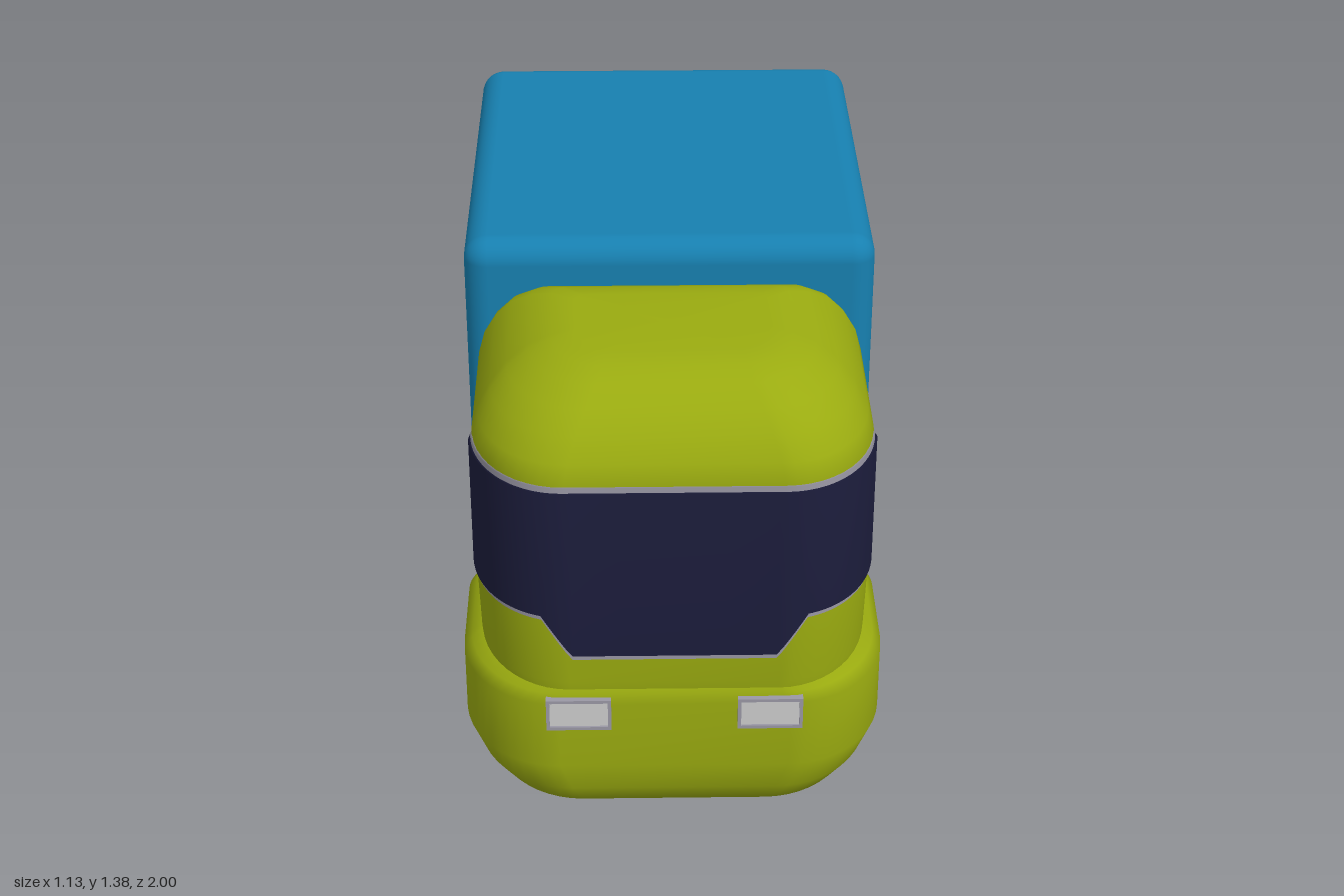
import * as THREE from 'three';
import { RoundedBoxGeometry } from 'three/addons/geometries/RoundedBoxGeometry.js';

const SEG = 12; // segments per rounded corner

// Plan outline: elliptical front corners (rx, rz), round back corners (rb)
function outline(hw, zF, zB, rx, rz, rb) {
  const pts = [];
  const corners = [[1, 1], [1, -1], [-1, -1], [-1, 1]];
  corners.forEach(([sx, sz], c) => {
    const ax = sz > 0 ? rx : rb, az = sz > 0 ? rz : rb;
    for (let i = 0; i <= SEG; i++) {
      const t = (c + i / SEG) * Math.PI / 2;
      pts.push([sx * (hw - ax) + ax * Math.sin(t), (sz > 0 ? zF - az : zB + az) + az * Math.cos(t)]);
    }
  });
  return pts;
}

// Skin through plan outlines stacked bottom to top; row = [y, halfWidth, zFront, zBack, cornerScale]
function loft(rows, rx, rz, rb) {
  const pos = [], idx = [], n = 4 * (SEG + 1);
  for (const [y, hw, zF, zB, k] of rows)
    for (const [x, z] of outline(hw, zF, zB, rx * k, rz * k, rb * k)) pos.push(x, y, z);
  for (let r = 0; r < rows.length - 1; r++)
    for (let j = 0; j < n; j++) {
      const a = r * n + j, b = r * n + (j + 1) % n;
      idx.push(a, b, b + n, a, b + n, a + n);
    }
  const last = rows.length - 1, base = last * n, c = rows.length * n;
  for (const i of [0, last]) pos.push(0, rows[i][0], (rows[i][2] + rows[i][3]) / 2);
  for (let j = 0; j < n; j++) {
    const k = (j + 1) % n;
    idx.push(c, k, j, c + 1, base + j, base + k);
  }
  return finish(pos, idx);
}

function finish(pos, idx) {
  const g = new THREE.BufferGeometry();
  g.setAttribute('position', new THREE.Float32BufferAttribute(pos, 3));
  g.setIndex(idx);
  g.computeVertexNormals();
  return g;
}

const CAB = { hw: 0.518, zF: 0.986, rx: 0.24, rz: 0.3 };

// Band wrapped around the cab front, grown by "grow" and lifted by "lift"
function windscreen(grow, lift) {
  const half = [];
  const cx = CAB.hw - CAB.rx, cz = CAB.zF - CAB.rz;
  const add = (x, z, nx, nz) => half.push([x + nx * lift, z + nz * lift, x, z]);
  for (const x of [0, 0.14, 0.262]) add(x, CAB.zF, 0, 1);
  for (let i = 0; i <= 36; i++) {
    const t = i / 36 * Math.PI / 2;
    add(cx + CAB.rx * Math.sin(t), cz + CAB.rz * Math.cos(t), Math.sin(t), Math.cos(t));
  }
  add(CAB.hw, 0.57, 1, 0);
  add(CAB.hw, 0.47 - grow, 1, 0);
  const path = [...half.slice(1).reverse().map(([a, b, c, d]) => [-a, b, -c, d]), ...half];
  const pos = [], idx = [];
  path.forEach(([x, z, px, pz], i) => {
    const taper = THREE.MathUtils.clamp((0.73 - pz) / 0.27, 0, 1) * 0.11;
    const dip = THREE.MathUtils.clamp((0.34 - Math.abs(px)) / 0.075, 0, 1) * 0.12;
    const lo = 0.69 + taper - (pz > 0.8 ? dip : 0) - grow, hi = 1.06 - taper + grow;
    // rolled edges sink into the cab skin
    const s = 1 - 0.012;
    pos.push(x * s, lo - 0.001, z * s, x, lo, z, x, hi, z, x * s, hi + 0.001, z * s);
    if (i) for (let k = 0; k < 3; k++) {
      const a = (i - 1) * 4 + k, b = i * 4 + k;
      idx.push(a, b, b + 1, a, b + 1, a + 1);
    }
  });
  return finish(pos, idx);
}

export function createModel() {
  const truck = new THREE.Group();
  truck.name = 'truck';
  const mat = (color, extra = {}) => new THREE.MeshStandardMaterial({ color, ...extra });
  const green = mat(0x9aab10);
  const blue = mat(0x1780b0);
  const glass = mat(0x1c1d3c, { side: THREE.DoubleSide });
  const trim = mat(0x9a98a5, { side: THREE.DoubleSide });
  const grey = mat(0xcccccc);
  const add = (name, geo, m, x = 0, y = 0, z = 0) => {
    const mesh = new THREE.Mesh(geo, m);
    mesh.name = name;
    mesh.position.set(x, y, z);
    truck.add(mesh);
    return mesh;
  };

  // Cargo box
  add('cargoBox', new RoundedBoxGeometry(1.11, 0.92, 1.245, 4, 0.065), blue, 0, 0.915, -0.3775);

  // Cab with domed roof
  add('cab', loft([
    [0.25, 0.49, 0.95, 0.22, 1],
    [0.42, 0.508, 0.97, 0.22, 1],
    [0.48, 0.512, 0.984, 0.22, 1],
    [0.66, CAB.hw, CAB.zF, 0.22, 1],
    [1.07, CAB.hw, CAB.zF, 0.22, 1],
    [1.13, 0.502, 0.968, 0.225, 0.98],
    [1.19, 0.468, 0.933, 0.235, 0.93],
    [1.24, 0.425, 0.887, 0.258, 0.85],
    [1.28, 0.368, 0.83, 0.3, 0.72],
    [1.303, 0.31, 0.775, 0.35, 0.55],
    [1.312, 0.25, 0.71, 0.41, 0.4],
  ], CAB.rx, CAB.rz, 0.06), green);

  // Lower front body with wheel fairings
  add('frontFairing', loft([
    [0, 0.38, 0.72, 0.4, 0.7],
    [0.025, 0.44, 0.83, 0.37, 0.85],
    [0.06, 0.49, 0.94, 0.34, 0.95],
    [0.12, 0.53, 0.97, 0.32, 1],
    [0.21, 0.562, 0.988, 0.3, 1],
    [0.41, 0.562, 0.988, 0.3, 1],
    [0.44, 0.54, 0.983, 0.3, 1],
    [0.48, 0.495, 0.965, 0.32, 1],
  ], 0.26, 0.3, 0.14), green);

  // Chassis skirt between the fairings
  add('chassis', loft([
    [0.002, 0.36, 0.6, -0.55, 1],
    [0.055, 0.485, 0.6, -0.55, 1],
    [0.09, 0.505, 0.6, -0.55, 1],
    [0.46, 0.505, 0.6, -0.55, 1],
    [0.47, 0.49, 0.6, -0.55, 1],
  ], 0.04, 0.04, 0.04), green);

  // Lower rear body with wheel fairings
  add('rearFairing', loft([
    [0, 0.38, -0.4, -0.68, 0.45],
    [0.025, 0.44, -0.35, -0.77, 0.7],
    [0.06, 0.49, -0.31, -0.855, 0.9],
    [0.12, 0.535, -0.3, -0.885, 1],
    [0.2, 0.565, -0.29, -0.903, 1],
    [0.4, 0.565, -0.29, -0.903, 1],
    [0.44, 0.545, -0.3, -0.9, 1],
    [0.47, 0.51, -0.31, -0.89, 1],
  ], 0.06, 0.1, 0.24), green);

  // Wraparound windscreen and its border
  add('windscreenFrame', windscreen(0.015, 0.003), trim);
  add('windscreen', windscreen(0, 0.009), glass);

  // Headlights: bevelled rim around a flat lens
  for (const side of [1, -1]) {
    const rim = new THREE.Shape([[-0.085, -0.047], [0.085, -0.047], [0.085, 0.047], [-0.085, 0.047]]
      .map(([x, y]) => new THREE.Vector2(x, y)));
    rim.holes.push(new THREE.Path([[-0.076, -0.038], [-0.076, 0.038], [0.076, 0.038], [0.076, -0.038]]
      .map(([x, y]) => new THREE.Vector2(x, y))));
    const geo = new THREE.ExtrudeGeometry(rim, { depth: 0.04, bevelEnabled: false });
    add('headlightRim', geo, trim, side * 0.25, 0.384, 0.96);
    add('headlightLens', new THREE.BoxGeometry(0.155, 0.078, 0.04), grey, side * 0.25, 0.384, 0.974);
  }
  return truck;
}
